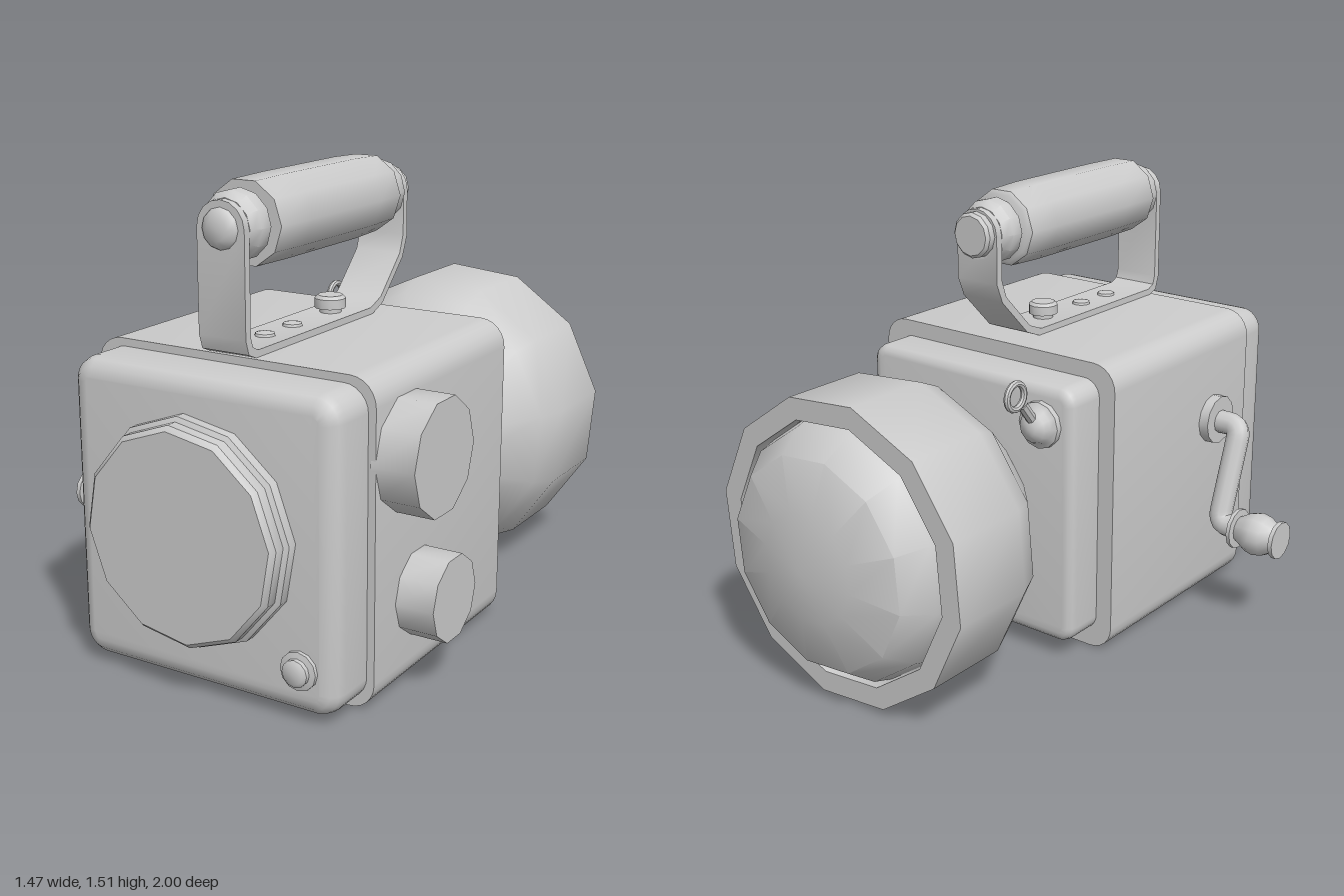
import * as THREE from 'three';
import { toCreasedNormals } from 'three/addons/utils/BufferGeometryUtils.js';

const CX = 0.115; // centre line of the body
const V = (x, y, z) => new THREE.Vector3(x, y, z);

export function createModel() {
  const model = new THREE.Group();
  const material = new THREE.MeshStandardMaterial({ color: 0xcccccc });

  function add(name, geometry, x = 0, y = 0, z = 0, crease = 0.75) {
    const mesh = new THREE.Mesh(toCreasedNormals(geometry, crease), material);
    mesh.name = name;
    mesh.position.set(x, y, z);
    model.add(mesh);
    return mesh;
  }

  // Turned part: profile of [radius, position along axis], axis 'x', 'y' or 'z'
  function turned(profile, axis, sides, turn = 0) {
    const points = profile.map(([r, h]) => new THREE.Vector2(r, h));
    const g = new THREE.LatheGeometry(points, sides, THREE.MathUtils.degToRad(turn));
    if (axis === 'z') g.rotateX(Math.PI / 2);
    if (axis === 'x') g.rotateZ(-Math.PI / 2);
    return g;
  }

  // Rounded rectangle in x/y running from z0 to z1, with optional edge bevel
  function block(x0, x1, y0, y1, z0, z1, r, bevel) {
    const a = x0 + bevel, b = x1 - bevel, c = y0 + bevel, d = y1 - bevel;
    const q = Math.max(r - bevel, 0.02);
    const s = new THREE.Shape();
    s.moveTo(a + q, c);
    s.lineTo(b - q, c);
    s.absarc(b - q, c + q, q, -Math.PI / 2, 0, false);
    s.lineTo(b, d - q);
    s.absarc(b - q, d - q, q, 0, Math.PI / 2, false);
    s.lineTo(a + q, d);
    s.absarc(a + q, d - q, q, Math.PI / 2, Math.PI, false);
    s.lineTo(a, c + q);
    s.absarc(a + q, c + q, q, Math.PI, Math.PI * 1.5, false);
    const g = new THREE.ExtrudeGeometry(s, {
      depth: z1 - z0 - 2 * bevel, curveSegments: 3, bevelEnabled: bevel > 0,
      bevelSize: bevel, bevelThickness: bevel, bevelSegments: 3,
    });
    return g.translate(0, 0, z0 + bevel);
  }

  // Case: main box with a softened cap at each end
  add('body', block(-0.375, 0.605, 0.01, 1.015, -0.07, 0.74, 0.085, 0));
  add('frontCap', block(-0.35, 0.58, 0.035, 0.99, 0.6, 0.91, 0.08, 0.055));
  add('backCap', block(-0.315, 0.545, 0.07, 0.96, -0.215, 0.05, 0.06, 0.035));

  // Front cover and small button
  add('frontCover', turned([
    [0.35, 0.88], [0.35, 0.942], [0.335, 0.95], [0.335, 0.985], [0.32, 1.0], [0, 1.0],
  ], 'z', 12, 5), 0.1, 0.527, 0);
  add('frontButton', turned([
    [0.06, 0.9], [0.06, 0.922], [0.042, 0.926], [0.042, 0.94], [0.03, 0.948], [0, 0.948],
  ], 'z', 12), 0.46, 0.178, 0);

  // Lamp: flared shell with a recessed rim, domed lens
  add('lampShell', turned([
    [0.435, -0.76], [0.435, -0.84], [0.508, -0.84], [0.508, -0.54],
    [0.468, -0.45], [0.25, -0.212], [0, -0.212],
  ], 'z', 12, 10), CX, 0.51, 0);
  add('lampLens', turned([
    [0, -1], [0.18, -0.966], [0.35, -0.93], [0.415, -0.84], [0.435, -0.77],
  ], 'z', 12, 10), CX, 0.51, 0);

  // Side knobs
  for (const [y, z, r] of [[0.762, 0.565, 0.18], [0.302, 0.485, 0.135]]) {
    add('sideKnob', turned([[r, 0.59], [r, 0.73], [0, 0.73]], 'x', 10), 0, y, z);
  }

  // Carrying strap: bent flat bar
  const outline = [
    [0.777, 1.39], [0.777, 1.075], [0.762, 1.03], [0.72, 1.012], [0.07, 1.012],
    [0, 1.04], [-0.13, 1.17], [-0.157, 1.235], [-0.157, 1.39],
    [-0.132, 1.39], [-0.132, 1.245], [-0.11, 1.185], [0.012, 1.062], [0.075, 1.037],
    [0.715, 1.037], [0.742, 1.05], [0.752, 1.08], [0.752, 1.39],
  ];
  const width = 0.165;
  const strap = new THREE.ExtrudeGeometry(
    new THREE.Shape(outline.map(([z, y]) => new THREE.Vector2(z, y))),
    { depth: width, bevelEnabled: false });
  strap.rotateY(-Math.PI / 2).translate(CX + width / 2, 0, 0);
  add('handleStrap', strap);
  for (const z of [0.7645, -0.1445]) {
    const eye = new THREE.CylinderGeometry(width / 2, width / 2, 0.025, 16).rotateX(Math.PI / 2);
    add('strapEnd', eye, CX, 1.39, z);
  }

  // Grip with ferrules and end bolts
  add('grip', turned([
    [0, -0.04], [0.115, -0.04], [0.128, -0.03], [0.133, 0.1], [0.133, 0.5],
    [0.13, 0.66], [0, 0.66],
  ], 'z', 10, 18), CX, 1.39, 0);
  const ferrule = [[0.085, 0], [0.105, 0.015], [0.105, 0.06], [0.09, 0.078], [0.085, 0.092], [0, 0.092]];
  add('frontFerrule', turned(ferrule, 'z', 12), CX, 1.39, 0.66);
  add('backFerrule', turned(ferrule, 'z', 12), CX, 1.39, -0.04).rotation.y = Math.PI;
  add('frontBolt', turned([[0.065, 0.77], [0.058, 0.785], [0.035, 0.798], [0, 0.8]], 'z', 12), CX, 1.39, 0);
  add('backBolt', turned([[0, -0.19], [0.065, -0.19], [0.075, -0.18], [0.075, -0.15]], 'z', 12), CX, 1.39, 0);

  // Switch and rivets on the strap
  add('switchButton', turned([
    [0.035, 1.03], [0.035, 1.05], [0.05, 1.052], [0.05, 1.083], [0.04, 1.093], [0, 1.093],
  ], 'y', 12), CX, 0, 0.19);
  for (const z of [0.56, 0.41]) {
    add('rivet', turned([[0.034, 1.03], [0.03, 1.045], [0, 1.052]], 'y', 10), CX, 0, z);
  }

  // Crank: hub, doubly bent arm and turned knob
  add('crankHub', turned([[0, -0.41], [0.085, -0.41], [0.085, -0.36]], 'x', 12), 0, 0.68, 0.525);
  const path = new THREE.CurvePath();
  const a = V(-0.4, 0.675, 0.525), b = V(-0.45, 0.675, 0.525), c = V(-0.49, 0.675, 0.525);
  const f = V(-0.49, 0.35, 0.41), g = V(-0.53, 0.35, 0.41), h = V(-0.58, 0.35, 0.41);
  const d = c.clone().lerp(f, 0.13), e = c.clone().lerp(f, 0.87);
  path.add(new THREE.LineCurve3(a, b));
  path.add(new THREE.QuadraticBezierCurve3(b, c, d));
  path.add(new THREE.LineCurve3(d, e));
  path.add(new THREE.QuadraticBezierCurve3(e, f, g));
  path.add(new THREE.LineCurve3(g, h));
  add('crankArm', new THREE.TubeGeometry(path, 32, 0.04, 10));
  add('crankKnob', turned([
    [0, -0.735], [0.065, -0.735], [0.065, -0.72], [0.045, -0.718], [0.068, -0.68],
    [0.075, -0.645], [0.068, -0.615], [0.045, -0.575], [0.07, -0.573], [0.07, -0.56], [0, -0.56],
  ], 'x', 12), 0, 0.35, 0.41);

  // Ring on a boss at the back
  add('ringBoss', turned([
    [0, -0.285], [0.025, -0.28], [0.05, -0.265], [0.06, -0.245], [0.078, -0.235], [0.078, -0.2],
  ], 'z', 12), -0.195, 0.83, 0);
  const stem = new THREE.TubeGeometry(
    new THREE.LineCurve3(V(-0.195, 0.84, -0.25), V(-0.195, 0.922, -0.315)), 1, 0.018, 8);
  add('ringStem', stem);
  add('ring', new THREE.TorusGeometry(0.042, 0.011, 8, 16).rotateY(Math.PI / 2), -0.195, 0.957, -0.347);

  return model;
}
